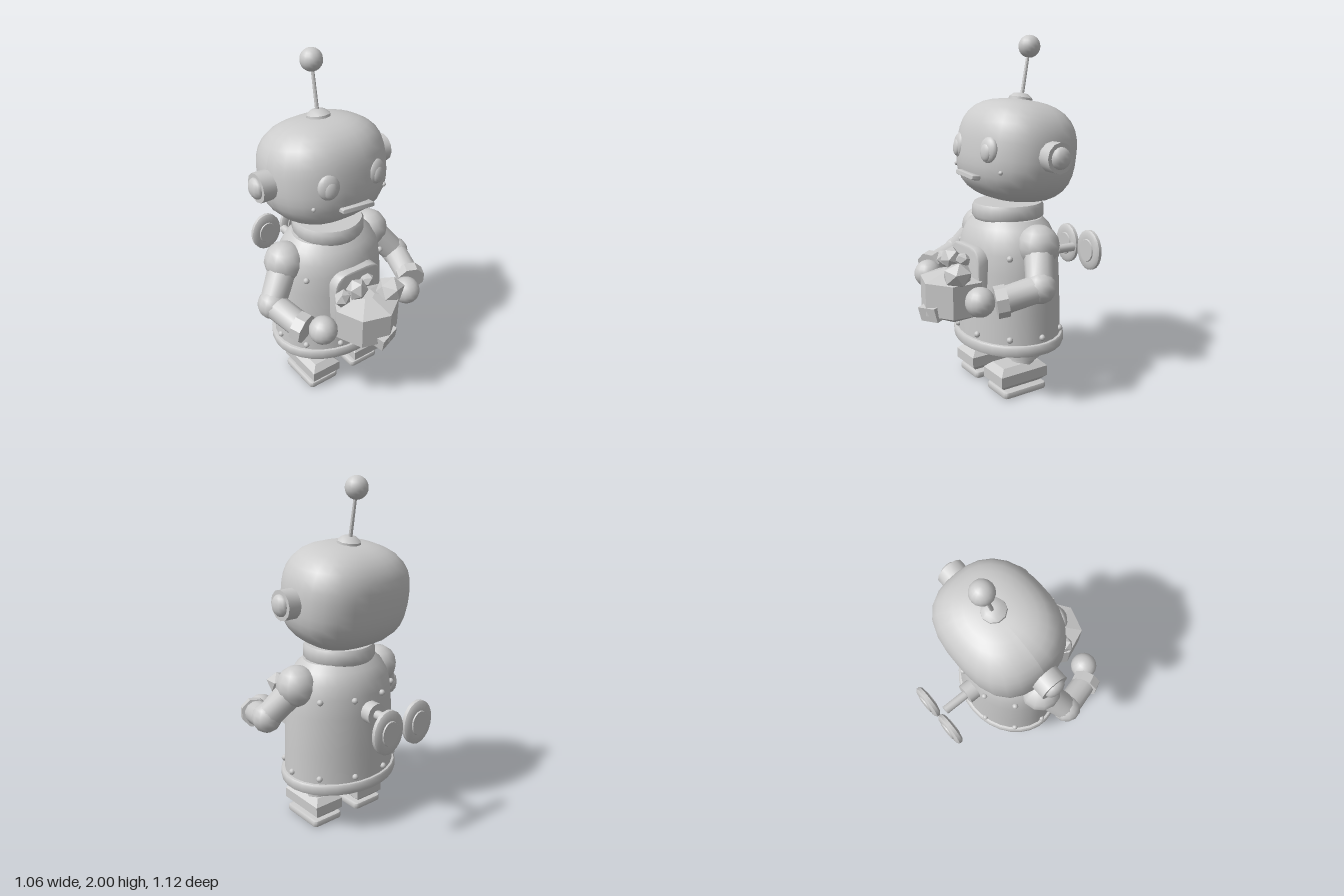
import * as THREE from 'three';
import { toCreasedNormals } from 'three/addons/utils/BufferGeometryUtils.js';

const grey = new THREE.MeshStandardMaterial({ color: 0xcccccc, side: THREE.DoubleSide });
const flat = new THREE.MeshStandardMaterial({ color: 0xcccccc, flatShading: true });
const V = (x, y, z) => new THREE.Vector3(x, y, z);

export function createModel() {
  const model = new THREE.Group();
  model.name = 'toyRobot';

  function add(name, geo, pos = [0, 0, 0], rot = [0, 0, 0], scale = [1, 1, 1], mat = grey, parent = model) {
    const m = new THREE.Mesh(geo, mat);
    m.name = name;
    m.position.set(...pos);
    m.rotation.set(...rot);
    m.scale.set(...scale);
    parent.add(m);
    return m;
  }
  const crease = (g, a = 0.7) => toCreasedNormals(g, a);
  const lathe = (pts, n) => crease(new THREE.LatheGeometry(pts.map(p => new THREE.Vector2(...p)), n));
  const ball = (r, w = 16, h = 12) => new THREE.SphereGeometry(r, w, h);
  // Round bar between two points
  function rod(name, a, b, r0, r1, n = 12, mat = grey) {
    const d = b.clone().sub(a);
    const m = add(name, crease(new THREE.CylinderGeometry(r1, r0, d.length(), n)),
      a.clone().add(b).multiplyScalar(0.5).toArray(), undefined, undefined, mat);
    m.quaternion.setFromUnitVectors(V(0, 1, 0), d.normalize());
    return m;
  }
  // Rounded plate outline extruded along z
  function plate(w, h, r, depth, bevel) {
    const s = new THREE.Shape();
    const x = w / 2, y = h / 2;
    s.moveTo(-x + r, -y).lineTo(x - r, -y).quadraticCurveTo(x, -y, x, -y + r)
      .lineTo(x, y - r).quadraticCurveTo(x, y, x - r, y)
      .lineTo(-x + r, y).quadraticCurveTo(-x, y, -x, y - r)
      .lineTo(-x, -y + r).quadraticCurveTo(-x, -y, -x + r, -y);
    return crease(new THREE.ExtrudeGeometry(s, { depth, bevelSize: bevel, bevelThickness: bevel, bevelSegments: 2, curveSegments: 5 }));
  }

  // Oval body with bottom flange, narrowing to the shoulders
  add('body', lathe([[0, 0.27], [0.36, 0.27], [0.366, 0.285], [0.366, 0.32], [0.358, 0.33], [0.344, 0.332],
    [0.34, 0.5], [0.33, 0.72], [0.32, 0.83], [0.3, 0.9], [0.265, 0.96], [0.22, 1.0], [0, 1.0]], 30),
    undefined, undefined, [1, 1, 0.83]);
  add('collar', lathe([[0, 0.99], [0.195, 0.99], [0.207, 1.01], [0.205, 1.06], [0.195, 1.08], [0, 1.08]], 24));

  // Rivet rows
  for (const [y, r] of [[0.365, 0.345], [0.82, 0.325]])
    for (let i = 0; i < 10; i++) {
      const a = (18 + 36 * i) * Math.PI / 180;
      add('rivet', ball(0.018, 8, 6), [r * Math.sin(a), y, r * 0.84 * Math.cos(a)]);
    }
  add('chestPanel', plate(0.3, 0.36, 0.09, 0.06, 0.01), [0, 0.675, 0.225]);

  // Head: rounded box shape, narrower toward the face, tilted back
  const head = new THREE.Group();
  head.name = 'head';
  head.position.set(0, 1.367, -0.045);
  head.rotation.x = -0.13;
  model.add(head);
  const hg = ball(1, 28, 20), p = hg.attributes.position, n = 2.7;
  for (let i = 0; i < p.count; i++) {
    const v = V(0, 0, 0).fromBufferAttribute(p, i);
    const l = (Math.abs(v.x) ** n + Math.abs(v.y) ** n + Math.abs(v.z) ** n) ** (1 / n);
    v.divideScalar(l);
    const taper = v.z > 0 ? 1 - 0.14 * v.z * v.z : 1;
    p.setXYZ(i, v.x * 0.356 * taper, v.y * 0.285, v.z * 0.297);
  }
  hg.computeVertexNormals();
  add('headShell', hg, undefined, undefined, undefined, grey, head);

  for (const s of [-1, 1]) {
    // Face
    add('eye', ball(1, 20, 12), [s * 0.155, 1.4, 0.222], [-0.13, s * 0.2, 0], [0.062, 0.07, 0.03]);
    add('pupil', ball(1), [s * 0.155, 1.39, 0.238], [-0.13, s * 0.2, 0], [0.04, 0.05, 0.022]);
    add('cheekDot', ball(0.012, 8, 6), [s * 0.235, 1.285, 0.2]);
    // Ears
    add('ear', crease(new THREE.CylinderGeometry(0.083, 0.083, 0.12, 12)), [s * 0.366, 1.365, -0.045], [0, 0, Math.PI / 2]);
    add('earCap', ball(1, 12, 8), [s * 0.425, 1.365, -0.045], undefined, [0.037, 0.06, 0.06]);

    // Arm: shoulder, elbow, cuff and ball hand
    const sh = V(s * 0.3, 0.88, 0), el = V(s * 0.445, 0.7, 0.09), wr = V(s * 0.39, 0.65, 0.29), ha = V(s * 0.3, 0.632, 0.37);
    add('shoulder', ball(0.117, 12, 8), sh.toArray());
    rod('upperArm', sh, el, 0.085, 0.075);
    add('elbow', ball(0.085, 12, 8), el.toArray());
    rod('forearm', el, wr, 0.074, 0.072);
    rod('cuff', V(s * 0.405, 0.655, 0.27), V(s * 0.38, 0.645, 0.325), 0.085, 0.085, 8, flat);
    add('hand', ball(0.08), ha.toArray());

    // Leg and foot
    const x = s * 0.157;
    add('hip', crease(new THREE.CylinderGeometry(0.097, 0.097, 0.08, 14)), [x, 0.235, 0]);
    add('ankle', crease(new THREE.CylinderGeometry(0.072, 0.072, 0.07, 12)), [x, 0.18, 0]);
    const shoe = new THREE.Shape([[-0.06, -0.14], [0.06, -0.14], [0.06, 0.1], [-0.06, 0.1]].map(q => new THREE.Vector2(...q)));
    add('shoe', new THREE.ExtrudeGeometry(shoe, { depth: 0.06, bevelSize: 0.036, bevelThickness: 0.034, bevelSegments: 1 }),
      [x, 0.077, 0.03], [-Math.PI / 2, 0, 0], undefined, flat);
    add('sole', plate(0.182, 0.262, 0.015, 0.018, 0.011), [x, 0.011, 0.043], [-Math.PI / 2, 0, 0]);

    // Wind-up key wing: thick oval disc with raised centre
    add('keyWing', lathe([[0, -0.028], [0.055, -0.028], [0.058, -0.021], [0.088, -0.021], [0.102, -0.01],
      [0.102, 0.01], [0.088, 0.021], [0.058, 0.021], [0.055, 0.028], [0, 0.028]], 20),
      [s * 0.107, 0.733, -0.528], [Math.PI / 2, 0, 0], [1, 1, 1.22]);
  }
  add('mouth', plate(0.19, 0.016, 0.005, 0.04, 0.006), [0, 1.25, 0.24], [-0.13, -0.05, -0.06]);

  // Antenna
  add('antennaBase', lathe([[0, 0], [0.068, 0], [0.066, 0.018], [0.04, 0.04], [0, 0.045]], 10), [0, 1.642, -0.083], [-0.16, 0, 0]);
  rod('antennaRod', V(0, 1.66, -0.092), V(0, 1.93, -0.141), 0.011, 0.009, 8);
  add('antennaBall', ball(0.062), [0, 1.938, -0.143]);

  // Key shaft
  rod('keySocket', V(0, 0.735, -0.24), V(0, 0.735, -0.33), 0.063, 0.063, 14);
  rod('keyShaft', V(0, 0.735, -0.3), V(0, 0.735, -0.483), 0.027, 0.027);

  // Faceted rock held at the chest, with smaller stones on it
  const rock = new THREE.LatheGeometry([[0, 0.42], [0.19, 0.505], [0.192, 0.69], [0.05, 0.735], [0, 0.735]].map(q => new THREE.Vector2(...q)), 7);
  add('rock', rock, [0, 0, 0.36], [0, 0.15, 0], undefined, flat);
  const stones = [[0.135, 0.74, 0.41, 0.085], [-0.055, 0.785, 0.35, 0.065], [-0.145, 0.755, 0.335, 0.055],
    [0.04, 0.79, 0.32, 0.045]];
  stones.forEach(([x, y, z, r], i) => add('stone', new THREE.IcosahedronGeometry(r), [x, y, z], [i * 0.9, i * 1.3, 0.3], [1, 0.85, 1], flat));
  add('stone', new THREE.BoxGeometry(0.13, 0.08, 0.09), [0.02, 0.52, 0.5], [0.2, 0.3, 0.08], undefined, flat);
  return model;
}
